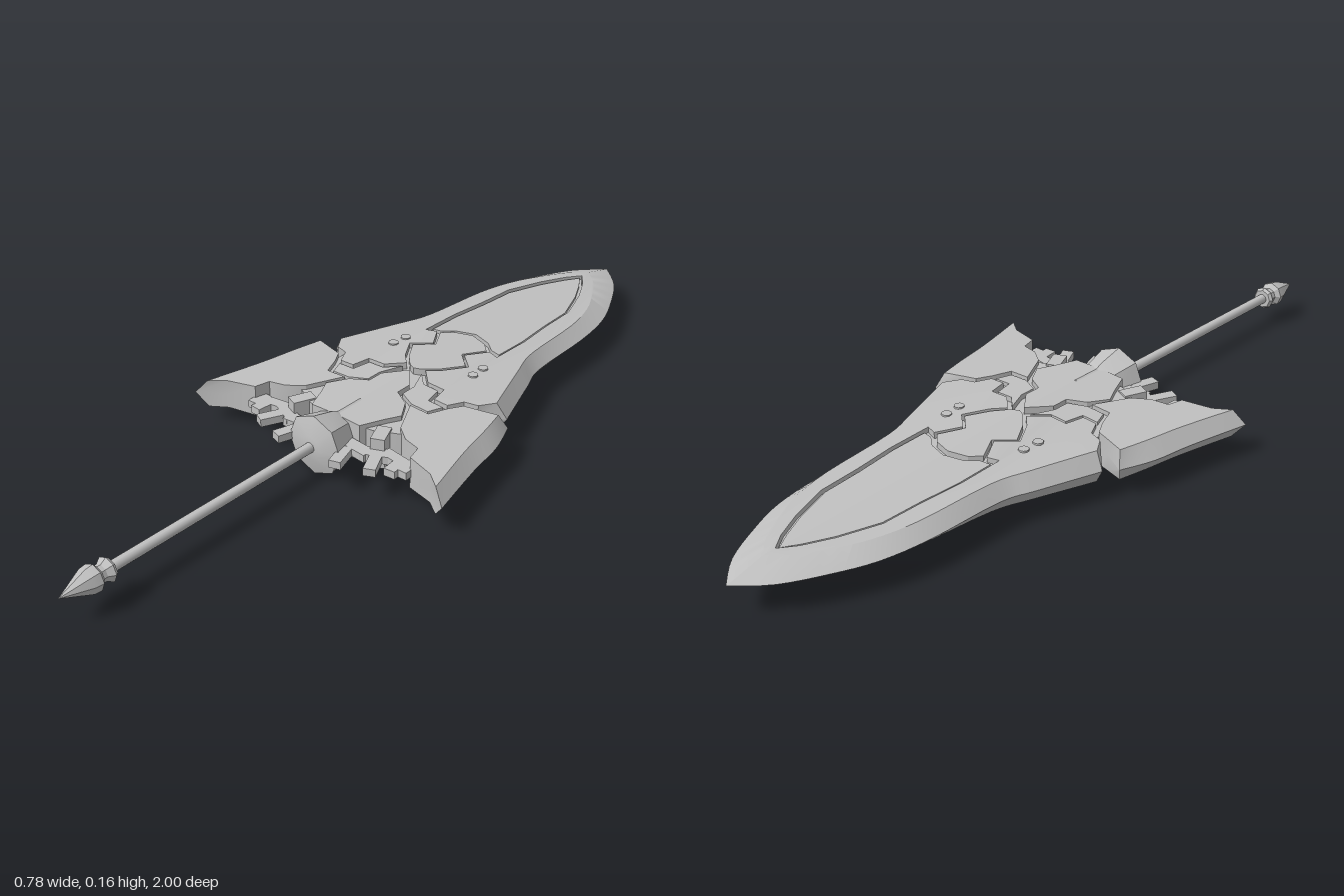
import * as THREE from 'three';
import { toCreasedNormals } from 'three/addons/utils/BufferGeometryUtils.js';

const MID = 0.08; // height of the symmetry plane
const steel = new THREE.MeshStandardMaterial({ color: 0xc0c0c0 });
steel.name = 'steel grey';

// half thickness of the blade: thinner outwards and towards the tip
const half = (x, z) => 0.051 - 0.04 * Math.abs(x) - 0.033 * Math.max(0, -z - 0.15);

// plate from [x, z, bevelX, bevelZ] points, closed on both faces
function plateGeometry(points, side, drop) {
  let ring = points.map(([x, z, bx = x, bz = z]) => ({
    edge: new THREE.Vector2(x * side, z), face: new THREE.Vector2(bx * side, bz),
  }));
  if (THREE.ShapeUtils.isClockWise(ring.map((p) => p.face))) ring = ring.reverse();
  const pos = [];
  const at = (p, level) => {
    const v = level ? p.face : p.edge;
    return [v.x, MID + level * (half(v.x, v.y) - drop), v.y];
  };
  const tri = (a, b, c) => pos.push(...a, ...b, ...c);
  for (const [a, b, c] of THREE.ShapeUtils.triangulateShape(ring.map((p) => p.face), [])) {
    tri(at(ring[a], 1), at(ring[c], 1), at(ring[b], 1));
    tri(at(ring[a], -1), at(ring[b], -1), at(ring[c], -1));
  }
  ring.forEach((p, i) => {
    const q = ring[(i + 1) % ring.length];
    for (const [hi, lo] of [[1, 0], [0, -1]]) {
      tri(at(p, hi), at(q, hi), at(q, lo));
      tri(at(p, hi), at(q, lo), at(p, lo));
    }
  });
  const g = new THREE.BufferGeometry();
  g.setAttribute('position', new THREE.Float32BufferAttribute(pos, 3));
  return toCreasedNormals(g, 0.45);
}

// smooth sharpened rim through a few control points
function rim(points, n) {
  const curve = (k) => new THREE.SplineCurve(points.map((p) => new THREE.Vector2(p[k], p[k + 1]))).getPoints(n);
  const inner = curve(2);
  return curve(0).map((p, i) => [p.x, p.y, inner[i].x, inner[i].y]);
}

// turned part along z from [radius, z] points
function turned(profile, sides) {
  const g = new THREE.LatheGeometry(profile.map(([r, z]) => new THREE.Vector2(r, z)), sides);
  g.rotateX(Math.PI / 2).translate(0, MID, 0);
  return toCreasedNormals(g, 0.45);
}

export function createModel() {
  const model = new THREE.Group();
  const add = (name, geometry) => {
    const mesh = new THREE.Mesh(geometry, steel);
    mesh.name = name;
    model.add(mesh);
    return mesh;
  };

  // half outlines of the armour plates, with how far each face is sunk
  const plates = {
    bladeFrame: [0, [
      ...rim([[0, -1, 0, -0.9], [0.07, -0.93, 0.045, -0.86], [0.125, -0.83, 0.088, -0.79],
        [0.165, -0.73, 0.125, -0.71], [0.185, -0.6, 0.15, -0.6], [0.192, -0.4, 0.165, -0.4],
        [0.22, -0.31, 0.195, -0.3], [0.275, -0.15, 0.25, -0.14]], 28),
      [0.225, -0.1], [0.19, -0.09], [0.17, -0.05], [0.13, -0.05], [0.12, -0.1], [0.07, -0.1],
      [0.03, -0.14], [0.06, -0.17], [0.095, -0.23], [0.05, -0.27], [0.085, -0.33],
      [0.115, -0.32], [0.115, -0.44], [0.105, -0.55], [0.1, -0.66], [0.065, -0.76],
      [0.03, -0.83], [0, -0.87]]],
    longInlay: [0.004, [[0, -0.86], [0.025, -0.82], [0.057, -0.755], [0.092, -0.655], [0.097, -0.55],
      [0.107, -0.44], [0.107, -0.34], [0.08, -0.345], [0.05, -0.37], [0, -0.385]]],
    middlePlate: [0.001, [[0, -0.37], [0.05, -0.355], [0.075, -0.33], [0.042, -0.27], [0.085, -0.23],
      [0.052, -0.175], [0.02, -0.14], [0, -0.13]]],
    arrowPlate: [0, [[0, -0.115], [0.045, -0.06], [0.045, -0.015], [0.09, 0.01], [0.12, 0.06],
      [0.1, 0.1], [0.075, 0.16], [0, 0.16]]],
    jointPlate: [0.003, [[0.03, -0.125], [0.065, -0.09], [0.11, -0.09], [0.12, -0.04], [0.165, -0.04],
      [0.15, 0], [0.1, 0], [0.055, -0.022], [0.055, -0.065]]],
    wing: [0, [
      ...rim([[0.3, -0.12, 0.285, -0.1], [0.333, -0.03, 0.303, -0.02], [0.352, 0.08, 0.322, 0.08],
        [0.39, 0.245, 0.36, 0.23]], 12),
      [0.32, 0.2], [0.245, 0.18], [0.235, 0.14], [0.19, 0.13], [0.15, 0.1], [0.13, 0.06],
      [0.105, 0.01], [0.16, 0.01], [0.18, -0.04], [0.2, -0.075], [0.235, -0.085]]],
    grooveCore: [0.012, [[0, -0.87], [0.07, -0.77], [0.12, -0.6], [0.12, -0.3], [0.2, -0.12], [0.2, 0],
      [0.17, 0.1], [0.1, 0.14], [0, 0.16]]],
  };

  // rear linkage: [x, z, width, depth, turn, height]
  const links = [
    [0.085, 0.185, 0.09, 0.035, -0.1, 0.02], [0.14, 0.175, 0.07, 0.035, 0.45, 0.02],
    [0.2, 0.165, 0.1, 0.03, -0.15, 0.02], [0.083, 0.235, 0.03, 0.07, 0.3, 0.02],
    [0.16, 0.21, 0.03, 0.07, 0.45, 0.02], [0.21, 0.19, 0.03, 0.05, 0.1, 0.02],
    [0.235, 0.175, 0.03, 0.05, 0, 0.02], [0.125, 0.14, 0.035, 0.06, 0.4, 0.078],
  ];

  for (const side of [1, -1]) {
    const hand = side > 0 ? 'left' : 'right';
    for (const [name, [drop, points]] of Object.entries(plates)) {
      add(`${name} ${hand}`, plateGeometry(points, side, drop));
    }
    for (const [x, z, w, d, turn, h] of links) {
      const link = add(`link ${hand}`, new THREE.BoxGeometry(w, h, d));
      link.position.set(x * side, MID, z);
      link.rotation.y = turn * side;
    }
    // rivets pass through both faces
    for (const [x, z] of [[0.125, -0.25], [0.128, -0.205]]) {
      const g = new THREE.CylinderGeometry(0.013, 0.013, 2 * half(x, z) + 0.006, 10);
      add(`rivet ${hand}`, toCreasedNormals(g, 0.7)).position.set(x * side, MID, z);
    }
  }

  // socket, shaft and pointed pommel
  add('socket', turned([[0, 0.05], [0.053, 0.07], [0.053, 0.15], [0.061, 0.165], [0.079, 0.235],
    [0.03, 0.25], [0, 0.25]], 8));
  add('shaft', turned([[0, 0.24], [0.013, 0.24], [0.013, 0.88], [0, 0.88]], 16));
  add('pommel', turned([[0, 0.862], [0.025, 0.862], [0.031, 0.87], [0.021, 0.885], [0.021, 0.895],
    [0.033, 0.905], [0.031, 0.925], [0, 1]], 8));
  return model;
}
